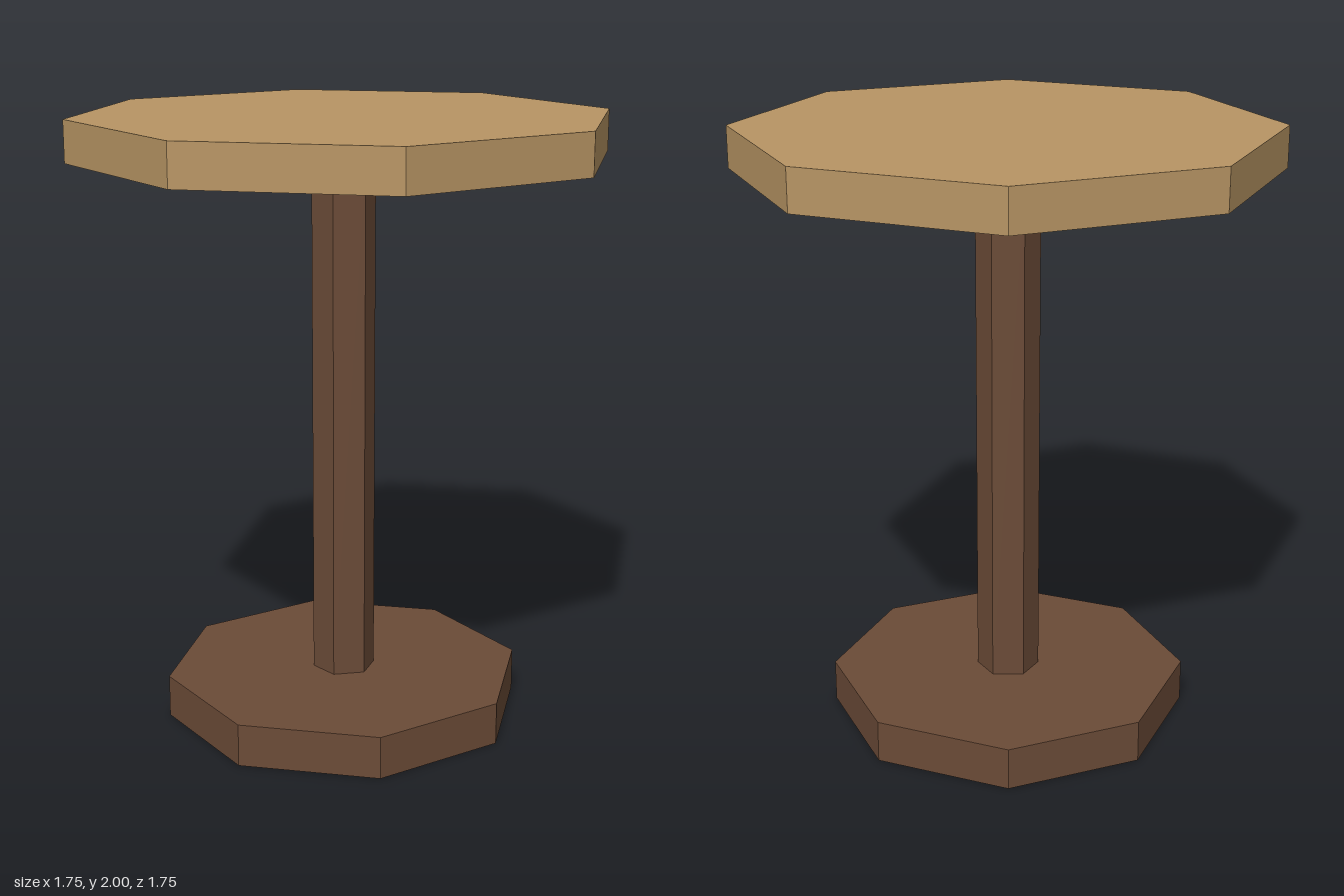
import * as THREE from 'three';

export function createModel() {
  const group = new THREE.Group();
  const lightWood = new THREE.MeshStandardMaterial({ color: 0xb89564, flatShading: true });
  lightWood.name = 'lightWood';
  const darkWood = new THREE.MeshStandardMaterial({ color: 0x6b4b37, flatShading: true });
  darkWood.name = 'darkWood';

  // Upright prism between two heights
  function prism(name, radius, bottom, top, sides, material, turn = 0) {
    const geometry = new THREE.CylinderGeometry(radius, radius, top - bottom, sides);
    const mesh = new THREE.Mesh(geometry, material);
    mesh.name = name;
    mesh.position.y = (bottom + top) / 2;
    mesh.rotation.y = turn;
    group.add(mesh);
  }

  // Octagonal foot and top with corners on the axes, hexagonal post with corners on x
  prism('base', 0.597, 0, 0.14, 8, darkWood);
  prism('post', 0.104, 0.14, 1.865, 6, darkWood, Math.PI / 2);
  prism('tableTop', 0.875, 1.865, 2, 8, lightWood);

  return group;
}
